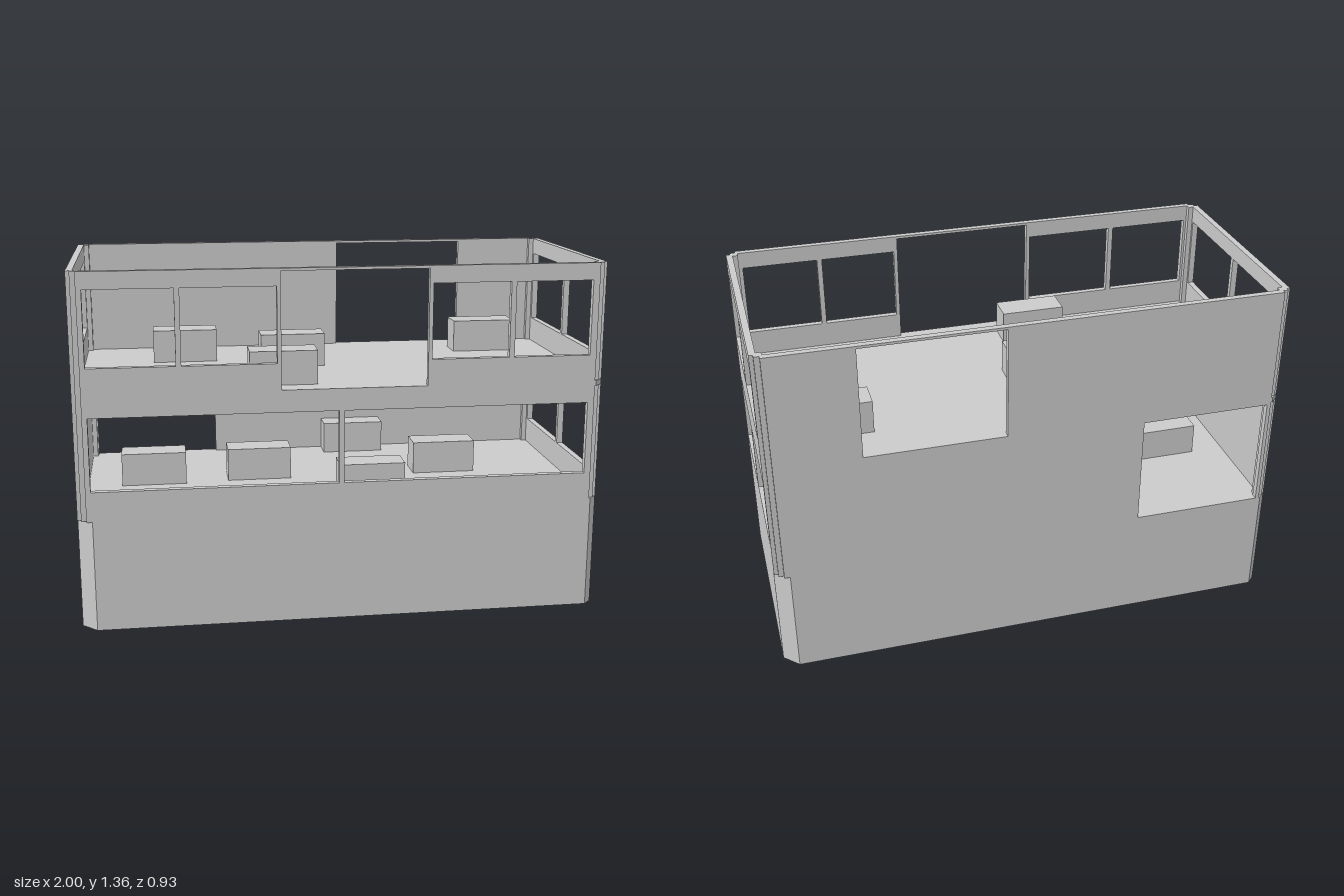
import * as THREE from 'three';

const W = 1, D = 0.465, T = 0.025;           // half width, half depth, wall thickness
const GROUND = 0.44, FLOOR = 0.91, TOP = 1.36;

const grey = new THREE.MeshStandardMaterial({ color: 0xcccccc });
grey.name = 'plain grey';

function add(parent, geometry, name, x = 0, y = 0, z = 0) {
  const mesh = new THREE.Mesh(geometry, grey);
  mesh.name = name;
  mesh.position.set(x, y, z);
  parent.add(mesh);
  return mesh;
}

// Rectangle path from [x0, x1, y0, y1]
function rect(path, [x0, x1, y0, y1]) {
  path.moveTo(x0, y0);
  path.lineTo(x1, y0);
  path.lineTo(x1, y1);
  path.lineTo(x0, y1);
  path.closePath();
  return path;
}

// Upright panel pierced by rectangular openings
function panel(outline, openings) {
  const shape = rect(new THREE.Shape(), outline);
  for (const o of openings) shape.holes.push(rect(new THREE.Path(), o));
  return new THREE.ExtrudeGeometry(shape, { depth: T, bevelEnabled: false });
}

// Horizontal block with cut corners, optionally with an opening
function slab(height, opening) {
  const s = 0.03, b = 0.057;
  const points = [
    [-W + b, -D], [W - s, -D], [W, -D + s], [W, D - b],
    [W - b, D], [-W + s, D], [-W, D - s], [-W, -D + b],
  ];
  const shape = new THREE.Shape(points.map(([x, y]) => new THREE.Vector2(x, y)));
  if (opening) shape.holes.push(rect(new THREE.Path(), opening));
  return new THREE.ExtrudeGeometry(shape, { depth: height, bevelEnabled: false })
    .rotateX(-Math.PI / 2);
}

export function createModel() {
  const model = new THREE.Group();
  model.name = 'twoStoreyBuilding';

  // Solid base and upper floor with stairwell
  add(model, slab(GROUND), 'groundBlock');
  add(model, slab(0.02, [-0.955, -0.655, -0.42, -0.11]), 'upperFloor', 0, FLOOR - 0.02, 0);

  // Window heights of each storey
  const low = [0.545, 0.825], high = [1.01, 1.295];
  const base = GROUND - 0.01;

  // Front wall: two wide windows below, four windows and a doorway above
  add(model, panel([-0.965, 0.965, base, TOP], [
    [-0.945, -0.02, ...low], [0, 0.94, ...low],
    [-0.945, -0.62, ...high], [-0.6, -0.25, ...high],
    [0.33, 0.625, ...high], [0.645, 0.94, ...high],
    [-0.235, 0.315, FLOOR, 1.35],
  ]), 'frontWall', 0, 0, D - T);

  // Back wall: one tall opening per storey
  add(model, panel([-0.965, 0.965, base, TOP], [
    [-0.95, -0.44, GROUND, 0.88],
    [0.1, 0.64, FLOOR, 1.35],
  ]), 'backWall', 0, 0, -D);

  // End walls: paired windows, the right-hand one blank on the lower storey
  const pair = (h) => [[-0.41, -0.02, ...h], [0, 0.405, ...h]];
  const end = [-0.435, 0.435, base, TOP];
  add(model, panel(end, [...pair(low), ...pair(high)]).rotateY(Math.PI / 2), 'leftWall', W - T, 0, 0);
  add(model, panel(end, pair(high)).rotateY(Math.PI / 2), 'rightWall', -W, 0, 0);

  // Recessed corner posts
  for (const sx of [-1, 1]) {
    for (const sz of [-1, 1]) {
      add(model, new THREE.BoxGeometry(0.03, TOP - base, 0.03), 'cornerPost',
        sx * 0.97, (TOP + base) / 2, sz * 0.435);
    }
  }

  // Counters standing on each floor: centre x, centre z
  const counter = new THREE.BoxGeometry(0.257, 0.13, 0.115);
  const lower = [[-0.712, -0.01], [-0.285, -0.028], [0.135, 0.258], [0.485, -0.028], [0.16, -0.4]];
  const upper = [[-0.57, -0.173], [-0.145, -0.023], [-0.217, 0.323], [0.697, -0.243]];
  for (const [x, z] of lower) add(model, counter, 'lowerCounter', x, GROUND + 0.065, z);
  for (const [x, z] of upper) add(model, counter, 'upperCounter', x, FLOOR + 0.065, z);

  return model;
}
